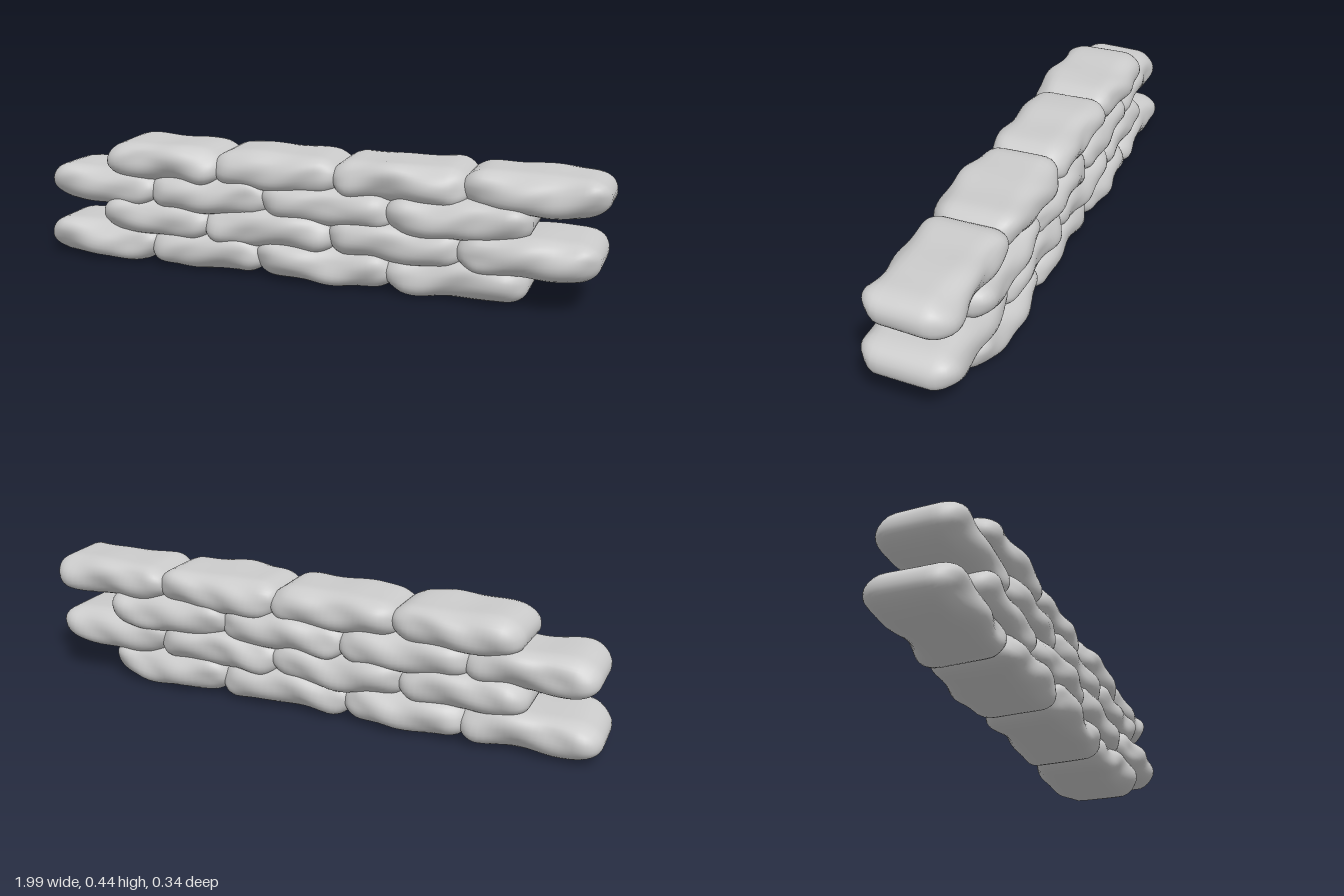
import * as THREE from 'three';
import { mergeVertices } from 'three/addons/utils/BufferGeometryUtils.js';

// Four staggered courses: joint positions along x, bottom, top, and [back, front] per stone
const courses = [
  { name: 'bottomCourse', x: [-1, -0.56, -0.16, 0.3, 0.76], y: [0, 0.135],
    z: [[-0.15, 0.14], [-0.16, 0.145], [-0.155, 0.15], [-0.16, 0.145]] },
  { name: 'lowerCourse', x: [-0.77, -0.35, 0.1, 0.54, 0.98], y: [0.1, 0.238],
    z: [[-0.155, 0.145], [-0.16, 0.15], [-0.16, 0.15], [-0.155, 0.167]] },
  { name: 'upperCourse', x: [-0.98, -0.56, -0.14, 0.3, 0.765], y: [0.198, 0.335],
    z: [[-0.14, 0.14], [-0.155, 0.145], [-0.16, 0.145], [-0.165, 0.155]] },
  { name: 'topCourse', x: [-0.745, -0.32, 0.11, 0.54, 0.995], y: [0.297, 0.432],
    z: [[-0.155, 0.145], [-0.15, 0.138], [-0.155, 0.14], [-0.155, 0.13]] },
];

const clamp = THREE.MathUtils.clamp;

// A worn stone: a block with elliptical corners, dented by smooth waves
function stoneGeometry(w, h, d, seed) {
  let g = new THREE.BoxGeometry(w, h, d, 22, 10, 14);
  g.deleteAttribute('uv');
  g.deleteAttribute('normal');
  g = mergeVertices(g, 1e-5);
  const half = new THREE.Vector3(w / 2, h / 2, d / 2);
  const r = new THREE.Vector3(0.085, h * 0.47, 0.075);
  const inner = half.clone().sub(r);
  const pos = g.attributes.position;
  const p = new THREE.Vector3(), q = new THREE.Vector3();
  for (let i = 0; i < pos.count; i++) {
    p.fromBufferAttribute(pos, i);
    q.set(clamp(p.x, -inner.x, inner.x), clamp(p.y, -inner.y, inner.y), clamp(p.z, -inner.z, inner.z));
    const n = p.clone().sub(q).divide(r).normalize();
    p.copy(q).addScaledVector(n.clone().multiply(r), 1);
    // hollows on the faces, and a crest that wanders along the long sides
    const wave = Math.sin(p.x * 17 + seed * 2.1 + p.y * 22) * Math.cos(p.z * 13 + seed * 1.3)
      + 0.6 * Math.sin(p.x * 31 - p.y * 35 + seed * 4.7);
    const side = Math.abs(n.z);
    p.addScaledVector(n, -0.003 - (0.0025 + 0.006 * side) * (1 + wave));
    p.y += side * 0.012 * Math.sin(p.x * 12 + seed * 3 + Math.sign(p.z));
    // thinner and narrower towards the joints
    const t = Math.pow(Math.abs(p.x) / half.x, 4);
    p.y *= 1 - 0.16 * t;
    p.z *= 1 - 0.07 * t;
    pos.setXYZ(i, p.x, p.y, p.z);
  }
  g.computeVertexNormals();
  return g;
}

export function createModel() {
  const model = new THREE.Group();
  model.name = 'stoneWall';
  const material = new THREE.MeshStandardMaterial({ color: 0xcccccc });
  courses.forEach((course, row) => {
    const group = new THREE.Group();
    group.name = course.name;
    const [y0, y1] = course.y;
    for (let i = 0; i < 4; i++) {
      // neighbouring stones press into each other at the joints
      const x0 = course.x[i] - (i > 0 ? 0.025 : 0.003);
      const x1 = course.x[i + 1] + (i < 3 ? 0.025 : 0.003);
      const [z0, z1] = course.z[i];
      const seed = row * 4 + i + 1;
      const stone = new THREE.Mesh(stoneGeometry(x1 - x0, y1 - y0 + 0.008, z1 - z0 + 0.014, seed), material);
      stone.name = 'stone' + (i + 1);
      stone.position.set((x0 + x1) / 2, (y0 + y1) / 2, (z0 + z1) / 2);
      stone.rotation.y = 0.015 * Math.sin(seed * 2.7);
      group.add(stone);
    }
    model.add(group);
  });
  return model;
}
